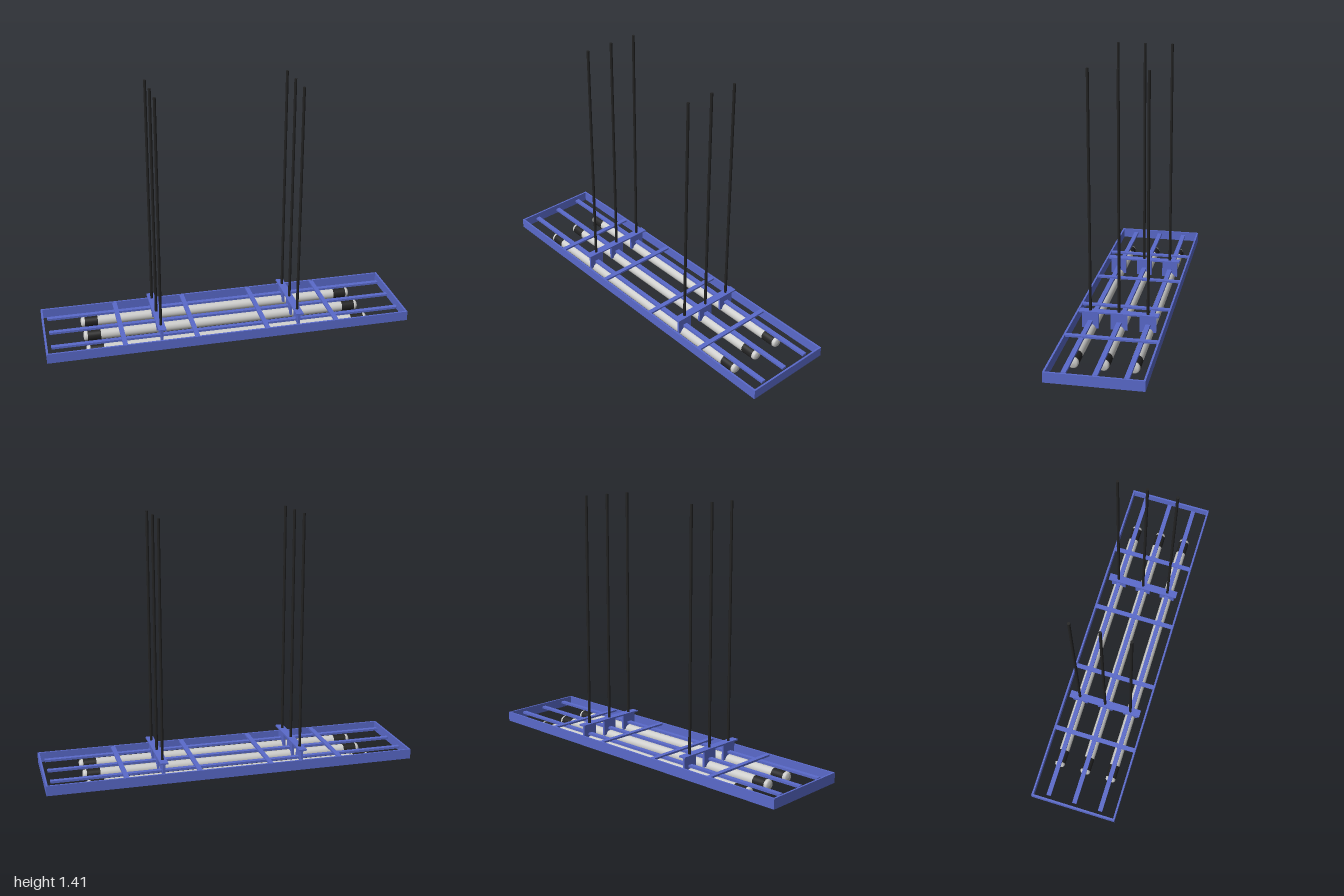
import * as THREE from 'three';

const blue = new THREE.MeshStandardMaterial({ color: 0x5a6acb });
blue.name = 'blue painted steel';
const grey = new THREE.MeshStandardMaterial({ color: 0xcdcdcb });
grey.name = 'pale grey tube';
const black = new THREE.MeshStandardMaterial({ color: 0x222222 });
black.name = 'black';

export function createModel() {
  const model = new THREE.Group();
  model.name = 'hangingTubeLight';

  const add = (name, geometry, material, x, y, z) => {
    const mesh = new THREE.Mesh(geometry, material);
    mesh.name = name;
    mesh.position.set(x, y, z);
    model.add(mesh);
    return mesh;
  };
  const box = (name, w, h, d, x, y, z) =>
    add(name, new THREE.BoxGeometry(w, h, d), blue, x, y, z);

  // Open rectangular frame, extruded upwards
  const outline = new THREE.Shape();
  outline.moveTo(-1, -0.245).lineTo(1, -0.245).lineTo(1, 0.245).lineTo(-1, 0.245).closePath();
  const opening = new THREE.Path();
  opening.moveTo(-0.99, -0.235).lineTo(-0.99, 0.235).lineTo(0.99, 0.235).lineTo(0.99, -0.235).closePath();
  outline.holes.push(opening);
  const frame = new THREE.ExtrudeGeometry(outline, { depth: 0.054, bevelEnabled: false });
  frame.rotateX(-Math.PI / 2);
  add('frame', frame, blue, 0, 0.034, 0);

  // Cross bars between the long sides
  for (const x of [-0.585, -0.195, 0.195, 0.585]) {
    box('crossBar', 0.025, 0.01, 0.48, x, 0.082, 0);
  }

  // Tube profile with softly rounded ends, turned along x
  const profile = [[0, -0.787], [0.02, -0.785], [0.027, -0.779], [0.0285, -0.77],
    [0.0285, 0.77], [0.027, 0.779], [0.02, 0.785], [0, 0.787]]
    .map(([r, h]) => new THREE.Vector2(r, h));
  const tube = new THREE.LatheGeometry(profile, 32).rotateZ(-Math.PI / 2);
  const band = new THREE.CylinderGeometry(0.0295, 0.0295, 0.072, 32).rotateZ(Math.PI / 2);
  const rod = new THREE.CylinderGeometry(0.0075, 0.0075, 1.275, 16);

  for (const z of [-0.152, 0, 0.152]) {
    // Long rail with its light tube below
    box('rail', 1.94, 0.012, 0.025, 0, 0.073, z);
    add('lightTube', tube, grey, 0, 0.03, z);
    for (const side of [-1, 1]) {
      add('tubeBand', band, black, side * 0.729, 0.03, z);
      // Upright bracket and the rod it hangs from
      box('bracket', 0.012, 0.093, 0.088, side * 0.382, 0.0815, z);
      add('hangingRod', rod, black, side * 0.382, 0.7695, z);
    }
  }

  // Plates joining the brackets
  for (const side of [-1, 1]) {
    box('hangerPlate', 0.042, 0.008, 0.42, side * 0.382, 0.13, 0);
  }

  return model;
}
